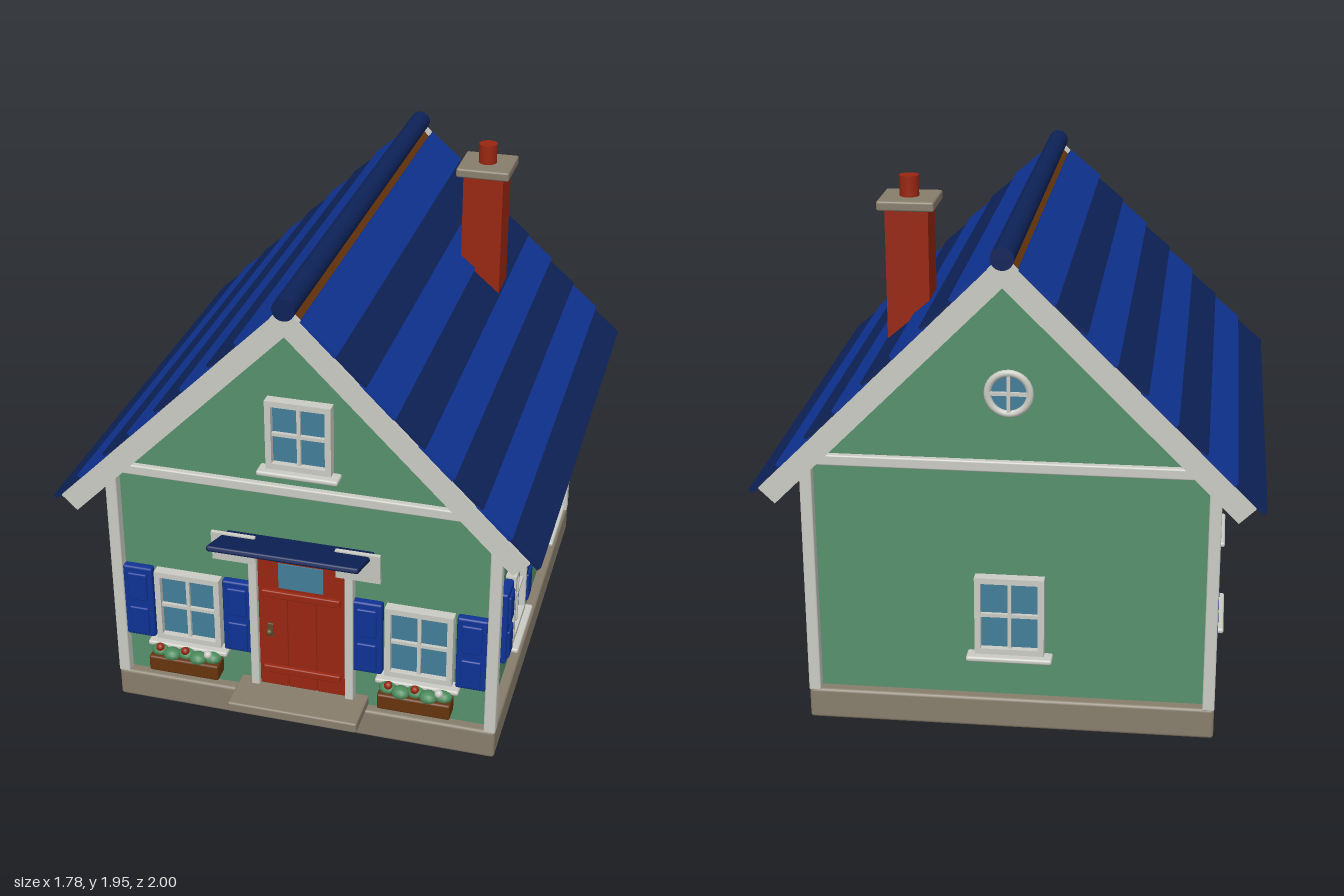
import * as THREE from 'three';
import { RoundedBoxGeometry } from 'three/addons/geometries/RoundedBoxGeometry.js';

const mat = (name, color) => {
  const m = new THREE.MeshStandardMaterial({ color });
  m.name = name;
  return m;
};
const M = {
  wall: mat('wall green', 0x56906c),
  trim: mat('trim white', 0xcbcbc4),
  blue: mat('bright blue', 0x0f3394),
  navy: mat('navy', 0x0d2258),
  red: mat('brick red', 0x982610),
  stone: mat('stone', 0x877d6c),
  wood: mat('brown wood', 0x66340c),
  glass: mat('window glass', 0x427d98),
  bronze: mat('bronze', 0x5c4a26),
  leaf: mat('leaf green', 0x4a8a5a),
};

function add(parent, name, geo, material, x = 0, y = 0, z = 0) {
  const m = new THREE.Mesh(geo, material);
  m.name = name;
  m.position.set(x, y, z);
  parent.add(m);
  return m;
}
const box = (parent, name, material, w, h, d, x, y, z) =>
  add(parent, name, new THREE.BoxGeometry(w, h, d), material, x, y, z);
const rbox = (parent, name, material, w, h, d, x, y, z, r = 0.008) =>
  add(parent, name, new RoundedBoxGeometry(w, h, d, 2, r), material, x, y, z);

function group(parent, name, x = 0, y = 0, z = 0, ry = 0) {
  const g = new THREE.Group();
  g.name = name;
  g.position.set(x, y, z);
  g.rotation.y = ry;
  parent.add(g);
  return g;
}
const shapeOf = (pts) => new THREE.Shape(pts.map(([x, y]) => new THREE.Vector2(x, y)));
const extrude = (shape, depth) => new THREE.ExtrudeGeometry(shape, { depth, bevelEnabled: false, curveSegments: 20 });

// Rectangular window with frame, cross bars and sill, facing +z
function makeWindow(parent, name, x, y, z, ry, w, h, shutters) {
  const g = group(parent, name, x, y, z, ry);
  const rect = (a, b) => [[-a, -b], [a, -b], [a, b], [-a, b]];
  const frame = shapeOf(rect(w / 2, h / 2));
  frame.holes.push(shapeOf(rect(w / 2 - 0.022, h / 2 - 0.022)));
  add(g, 'windowFrame', extrude(frame, 0.04), M.trim);
  box(g, 'windowGlass', M.glass, w - 0.04, h - 0.04, 0.008, 0, 0, 0.012);
  box(g, 'verticalBar', M.trim, 0.013, h - 0.04, 0.02, 0, 0, 0.02);
  box(g, 'horizontalBar', M.trim, w - 0.04, 0.013, 0.02, 0, 0, 0.02);
  rbox(g, 'windowSill', M.trim, w + 0.06, 0.02, 0.065, 0, -h / 2 - 0.012, 0.0325);
  if (!shutters) return;
  for (const s of [-1, 1]) {
    const sh = group(g, 'shutter', s * 0.196, 0, 0);
    rbox(sh, 'shutterBoard', M.blue, 0.115, 0.31, 0.035, 0, 0, 0.0175);
    for (const py of [-0.082, 0.07])
      rbox(sh, 'shutterPanel', M.blue, 0.075, 0.12, 0.016, 0, py, 0.036, 0.006);
  }
}

// Round window with cross bars, facing +z
function makeRoundWindow(parent, y, z, ry) {
  const g = group(parent, 'roundWindow', 0, y, z, ry);
  add(g, 'roundFrame', new THREE.TorusGeometry(0.074, 0.013, 8, 32), M.trim, 0, 0, 0.012);
  add(g, 'roundGlass', new THREE.CircleGeometry(0.074, 32), M.glass, 0, 0, 0.01);
  box(g, 'verticalBar', M.trim, 0.012, 0.145, 0.016, 0, 0, 0.014);
  box(g, 'horizontalBar', M.trim, 0.145, 0.012, 0.016, 0, 0, 0.014);
}

function makePlanter(parent, x, z) {
  const g = group(parent, 'flowerBox', x, 0.2, z);
  rbox(g, 'planter', M.wood, 0.275, 0.065, 0.075, 0, 0.0325, 0.075);
  for (let i = 0; i < 5; i++) {
    const leaf = add(g, 'leaves', new THREE.SphereGeometry(0.032, 10, 8), M.leaf,
      -0.104 + i * 0.052, 0.073, 0.075 + (i % 2 ? 0.012 : -0.006));
    leaf.scale.set(1.1, 0.75, 1);
  }
  [-0.1, 0.0, 0.09].forEach((fx, i) =>
    add(g, 'flower', new THREE.SphereGeometry(0.016, 10, 8), i === 2 ? M.trim : M.red, fx, 0.094, 0.085));
}

function makeDoor(parent, z) {
  const g = group(parent, 'frontDoor', 0, 0, z);
  for (const i of [-1, 0, 1])
    rbox(g, 'doorPlank', M.red, 0.111, 0.57, 0.03, i * 0.111, 0.45, 0.015, 0.005);
  for (const y of [0.245, 0.585]) rbox(g, 'doorRail', M.red, 0.3, 0.03, 0.02, 0, y, 0.035, 0.005);
  box(g, 'doorGlass', M.glass, 0.17, 0.105, 0.008, 0, 0.667, 0.032);
  for (const s of [-1, 1]) rbox(g, 'doorPost', M.trim, 0.032, 0.61, 0.045, s * 0.183, 0.465, 0.0225, 0.005);
  rbox(g, 'doorLintel', M.trim, 0.4, 0.035, 0.05, 0, 0.755, 0.025, 0.005);
  rbox(g, 'handlePlate', M.bronze, 0.025, 0.06, 0.01, -0.12, 0.42, 0.034, 0.004);
  add(g, 'doorKnob', new THREE.SphereGeometry(0.014, 12, 8), M.bronze, -0.12, 0.42, 0.05);
  rbox(g, 'doorStep', M.stone, 0.5, 0.042, 0.185, 0, 0.145, 0.09);
  // Canopy rising towards its front edge, with two hanging bracket plates
  const c = rbox(g, 'doorCanopy', M.navy, 0.555, 0.022, 0.235, 0, 0.855, 0.142, 0.008);
  c.rotation.x = -0.31;
  for (const s of [-1, 1]) {
    const b = box(g, 'canopyBracket', M.trim, 0.165, 0.12, 0.015, s * 0.232, 0.8, 0.09);
    b.rotation.x = 0.08;
  }
}

function makeRoof(parent) {
  const roof = group(parent, 'roof');
  // Deck, seen from below at the eaves
  const deck = shapeOf([[0, 1.8], [-0.845, 0.955], [-0.82, 0.93], [0, 1.75], [0.82, 0.93], [0.845, 0.955]]);
  add(roof, 'roofDeck', extrude(deck, 1.86), M.wood, 0, 0, -0.93);
  // Overlapping courses on both slopes
  for (const side of [0, 1]) {
    const half = group(roof, 'roofSlope', 0, 1.8, 0, side * Math.PI);
    const slope = group(half, 'roofCourses');
    slope.rotation.z = -Math.PI / 4;
    for (let i = 0; i < 8; i++) {
      const t = box(slope, 'roofCourse', i % 2 ? M.navy : M.blue, 0.165, 0.018, 1.89 - (i % 2) * 0.01,
        0.1425 + i * 0.1436, 0.016, 0);
      t.rotation.z = 0.08;
    }
  }
  const ridge = add(roof, 'ridgeCap', new THREE.CylinderGeometry(0.04, 0.04, 1.915, 24), M.navy, 0, 1.81, 0);
  ridge.rotation.x = Math.PI / 2;
  // Bargeboards on both gables
  const board = shapeOf([[0, 1.82], [-0.854, 0.966], [-0.797, 0.911], [0, 1.71], [0.797, 0.911], [0.854, 0.966]]);
  for (const z of [0.928, -0.952]) add(roof, 'bargeboard', extrude(board, 0.024), M.trim, 0, 0, z);
}

function makeChimney(parent) {
  const g = group(parent, 'chimney', 0.402, 0, -0.385);
  box(g, 'chimneyStack', M.red, 0.155, 0.65, 0.155, 0, 1.525, 0);
  rbox(g, 'chimneyCap', M.stone, 0.205, 0.036, 0.205, 0, 1.857, 0);
  add(g, 'chimneyPot', new THREE.CylinderGeometry(0.035, 0.035, 0.09, 20), M.red, 0, 1.905, 0);
}

export function createModel() {
  const root = new THREE.Group();
  root.name = 'cottage';
  const house = group(root, 'house', 0, 0, -0.04);
  const W = 0.7, D = 0.785;

  // Walls with both gables, and the stone base
  const section = shapeOf([[-W, 0], [W, 0], [W, 1.05], [0, 1.75], [-W, 1.05]]);
  add(house, 'walls', extrude(section, 2 * D), M.wall, 0, 0, -D);
  rbox(house, 'foundation', M.stone, 1.48, 0.119, 1.65, 0, 0.0615, 0, 0.012);

  // Corner posts and gable bands
  for (const sz of [-1, 1]) {
    for (const sx of [-1, 1])
      rbox(house, 'cornerPost', M.trim, 0.044, 0.89, 0.044, sx * 0.719, 0.56, sz * 0.804, 0.006);
    rbox(house, 'gableBand', M.trim, 1.4, 0.04, 0.035, 0, 1.02, sz * 0.79, 0.006);
  }

  // Windows on all four sides
  for (const s of [-1, 1]) {
    makeWindow(house, 'frontWindow', s * 0.445, 0.45, D, 0, 0.255, 0.3, true);
    makePlanter(house, s * 0.445, D);
    for (const z of [-0.382, 0.382])
      makeWindow(house, 'sideWindow', s * W, 0.45, z, s * Math.PI / 2, 0.25, 0.3, true);
  }
  makeWindow(house, 'atticWindow', 0, 1.255, D, 0, 0.24, 0.27, false);
  makeWindow(house, 'backWindow', 0, 0.45, -D, Math.PI, 0.25, 0.3, false);
  makeRoundWindow(house, 1.29, -D, Math.PI);

  makeDoor(house, D);
  makeRoof(house);
  makeChimney(house);
  return root;
}
